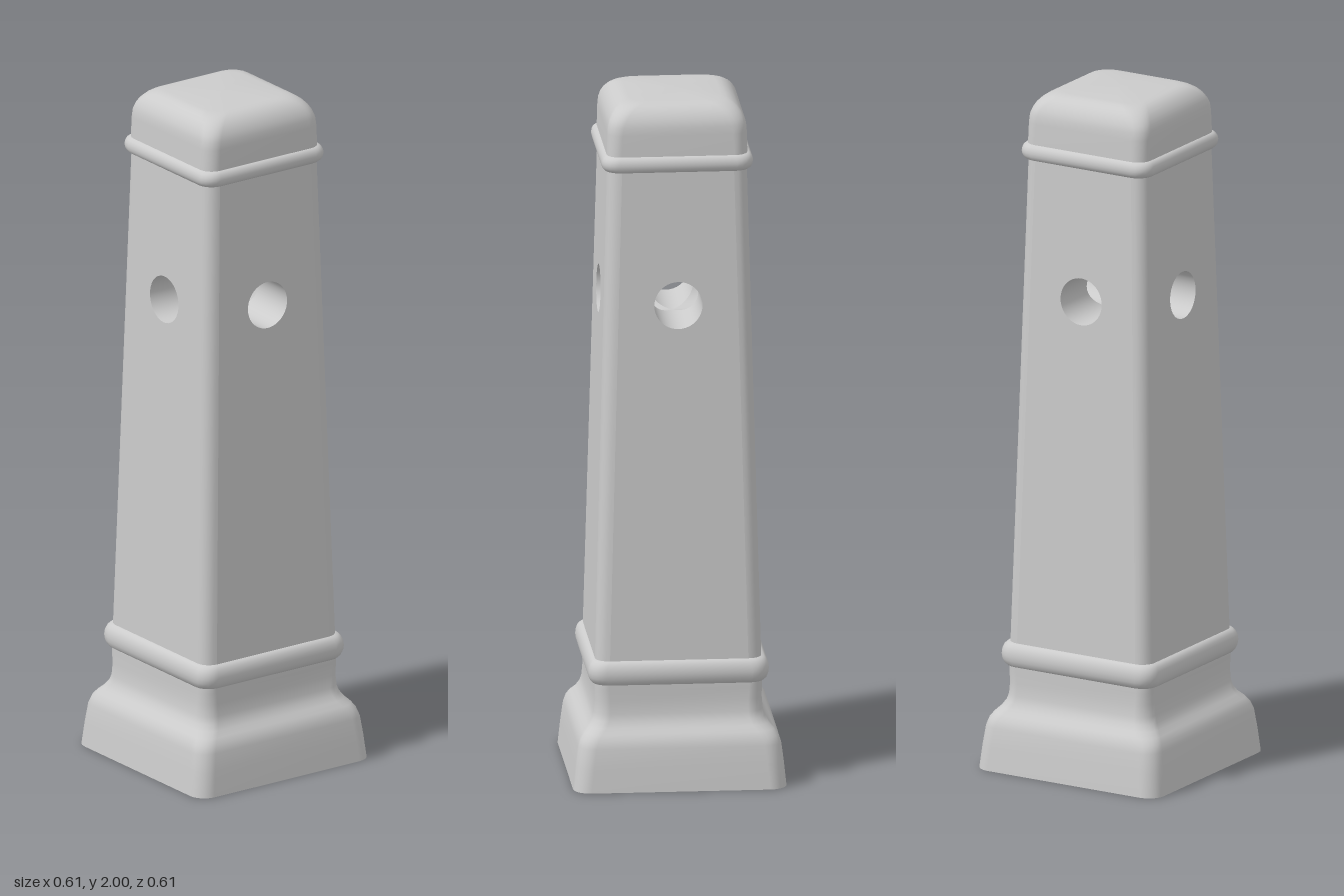
import * as THREE from 'three';

const material = new THREE.MeshStandardMaterial({ color: 0xcccccc });
const CORNER_STEPS = 5;

// Shaft dimensions
const Y0 = 0.36, Y1 = 1.81, R = 0.04;
const HOLE_Y = 1.41, HOLE_R = 0.069;
const halfWidth = (y) => 0.238 + (0.2 - 0.238) * (y - Y0) / (Y1 - Y0);

// Triangulate rows of equally long point lists
function grid(rows, wrap) {
  const n = rows[0].length, index = [];
  for (let j = 0; j < rows.length - 1; j++) {
    for (let i = 0; i < (wrap ? n : n - 1); i++) {
      const k = (i + 1) % n;
      const a = j * n + i, b = j * n + k, c = a + n, d = b + n;
      index.push(a, c, b, b, c, d);
    }
  }
  const geometry = new THREE.BufferGeometry();
  geometry.setAttribute('position', new THREE.Float32BufferAttribute(rows.flat(2), 3));
  geometry.setIndex(index);
  geometry.computeVertexNormals();
  return geometry;
}

// One rounded corner of a square cross-section
function corner(k, h, y, r) {
  const sx = k === 0 || k === 3 ? 1 : -1, sz = k < 2 ? 1 : -1;
  return Array.from({ length: CORNER_STEPS + 1 }, (_, i) => {
    const a = (k + i / CORNER_STEPS) * Math.PI / 2;
    return [sx * (h - r) + r * Math.cos(a), y, sz * (h - r) + r * Math.sin(a)];
  });
}

// Rounded-square loft through [half width, height, corner radius]
const loft = (profile) =>
  grid(profile.map((p) => [0, 1, 2, 3].flatMap((k) => corner(k, ...p))), true);

// Half-round bead around the post
function bead(h, y, depth, height, r) {
  const profile = [];
  for (let i = 0; i <= 8; i++) {
    const a = (i / 8 - 0.5) * Math.PI, out = depth * Math.cos(a);
    profile.push([h + out, y + height * Math.sin(a), r + out * 0.5]);
  }
  return loft(profile);
}

// Flat tapered shaft face with a round opening
function panel() {
  const w0 = halfWidth(Y0) - R, w1 = halfWidth(Y1) - R;
  const shape = new THREE.Shape([[-w0, Y0], [w0, Y0], [w1, Y1], [-w1, Y1]]
    .map(([x, y]) => new THREE.Vector2(x, y)));
  shape.holes.push(new THREE.Path().absarc(0, HOLE_Y, HOLE_R, 0, Math.PI * 2, true));
  const geometry = new THREE.ShapeGeometry(shape, 20);
  const p = geometry.attributes.position;
  for (let i = 0; i < p.count; i++) p.setZ(i, halfWidth(p.getY(i)));
  geometry.computeVertexNormals();
  return geometry;
}

// Bore from one face, mitred where the two through-holes cross
function tunnel() {
  const inner = [], outer = [];
  for (let i = 0; i < 40; i++) {
    const a = i / 40 * Math.PI * 2;
    const x = HOLE_R * Math.cos(a), y = HOLE_Y + HOLE_R * Math.sin(a);
    inner.push([x, y, Math.abs(x)]);
    outer.push([x, y, halfWidth(y)]);
  }
  return grid([inner, outer], true);
}

export function createModel() {
  const group = new THREE.Group();
  const add = (name, geometry, turn = 0) => {
    const mesh = new THREE.Mesh(geometry, material);
    mesh.name = name;
    mesh.rotation.y = turn * Math.PI / 2;
    group.add(mesh);
  };

  // Flared plinth
  add('underside', loft([[0, 0, 0], [0.305, 0, 0.05]]));
  add('plinth', loft([
    [0.305, 0, 0.05], [0.298, 0.07, 0.05], [0.291, 0.125, 0.05], [0.284, 0.147, 0.05],
    [0.273, 0.163, 0.05], [0.259, 0.178, 0.05], [0.248, 0.195, 0.047],
    [0.242, 0.215, 0.045], [0.239, 0.25, 0.042], [0.24, 0.285, 0.04],
    [0.24, 0.31, 0.04],
  ]));
  add('lowerBead', bead(0.237, 0.335, 0.022, 0.036, R));

  // Shaft corners, faces and bores
  const panelGeometry = panel(), tunnelGeometry = tunnel();
  for (let k = 0; k < 4; k++) {
    add('shaftCorner', grid([Y0, Y1].map((y) => corner(k, halfWidth(y), y, R)), false));
    add('shaftFace', panelGeometry, k);
    add('holeLining', tunnelGeometry, k);
  }

  // Upper bead and domed cap
  add('upperBead', bead(0.199, 1.825, 0.018, 0.024, R));
  const cap = [[0.202, 1.83, 0.04], [0.2, 1.91, 0.042]];
  for (let i = 1; i <= 7; i++) {
    const a = i / 7 * Math.PI / 2;
    cap.push([0.132 + 0.068 * Math.cos(a), 1.915 + 0.08 * Math.sin(a), 0.042 + 0.012 * i / 7]);
  }
  cap.push([0.08, 1.999, 0.04], [0, 2, 0]);
  add('cap', loft(cap));

  return group;
}
